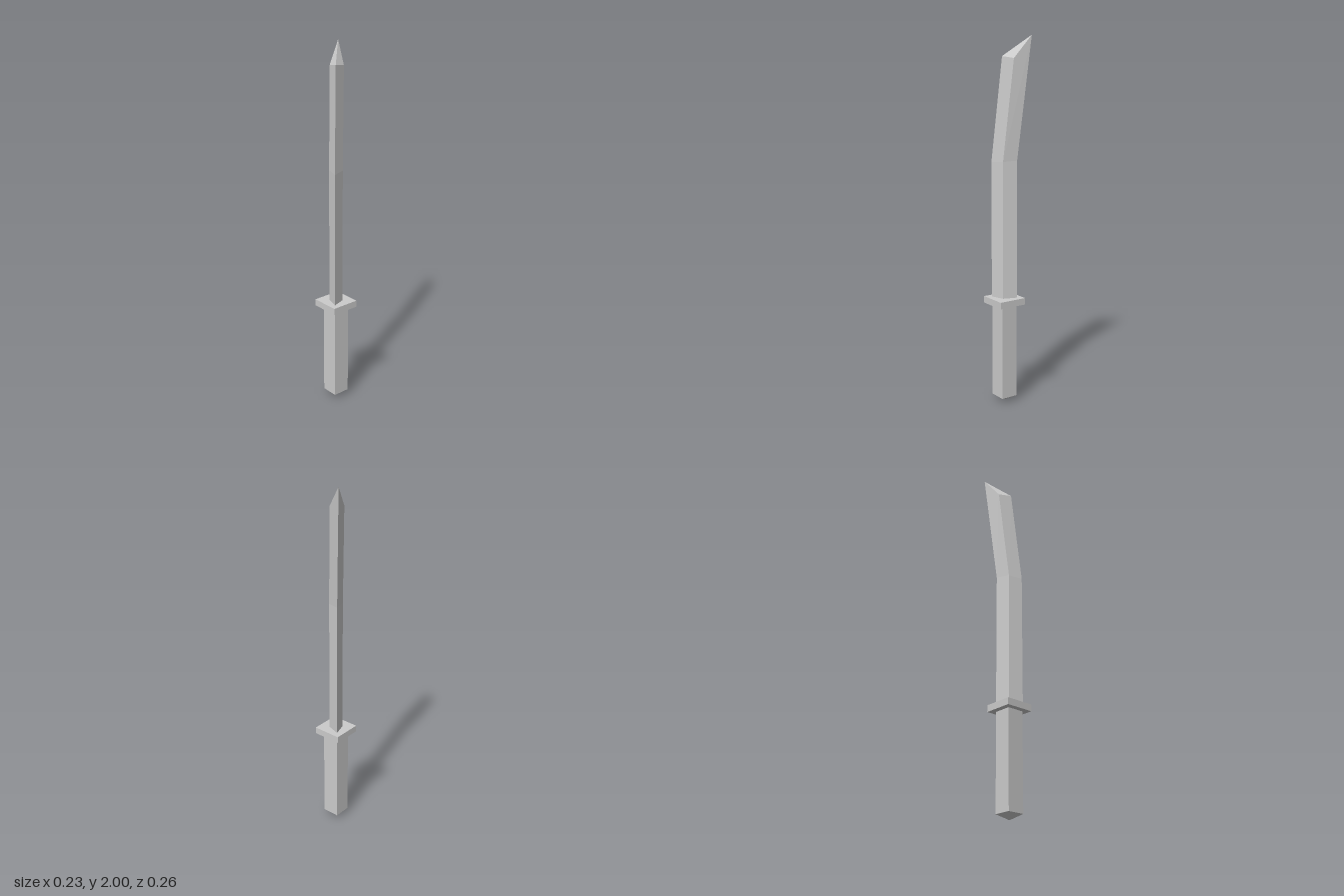
import * as THREE from 'three';

const AXIS_Z = 0.0145; // shared centre line of handle, guard and blade
const material = new THREE.MeshStandardMaterial({ color: 0xcccccc, flatShading: true });

// Four-sided diamond prism with corners on the x and z axes
function diamond(name, rTop, rBottom, y0, y1) {
  const geometry = new THREE.CylinderGeometry(rTop, rBottom, y1 - y0, 4);
  const mesh = new THREE.Mesh(geometry, material);
  mesh.name = name;
  mesh.position.set(0, (y0 + y1) / 2, AXIS_Z);
  return mesh;
}

// Skin a stack of four-cornered rings, closing both ends
function loft(rings) {
  const points = [];
  const tri = (a, b, c) => points.push(...a, ...b, ...c);
  for (let i = 0; i < rings.length - 1; i++) {
    const low = rings[i], high = rings[i + 1];
    for (let j = 0; j < 4; j++) {
      const k = (j + 1) % 4;
      tri(low[j], low[k], high[k]);
      tri(low[j], high[k], high[j]);
    }
  }
  const first = rings[0], last = rings[rings.length - 1];
  tri(first[0], first[2], first[1]);
  tri(first[0], first[3], first[2]);
  tri(last[0], last[1], last[2]);
  tri(last[0], last[2], last[3]);
  const geometry = new THREE.BufferGeometry();
  geometry.setAttribute('position', new THREE.Float32BufferAttribute(points, 3));
  geometry.computeVertexNormals();
  return geometry;
}

// Blade section given as [y, z] for the front edge, side ridges and back edge
function section(front, ridge, back) {
  const w = 0.036;
  return [
    [0, ...front],
    [w, ...ridge],
    [0, ...back],
    [-w, ...ridge],
  ];
}

export function createModel() {
  const group = new THREE.Group();
  group.name = 'sword';

  // Grip with a shallow pyramid underneath
  group.add(diamond('handle', 0.068, 0.068, 0.03, 0.56));
  group.add(diamond('pommel', 0.068, 0, 0, 0.03));

  // Flat square guard
  group.add(diamond('guard', 0.114, 0.114, 0.56, 0.597));

  // Blade: straight lower half, then swept back to a slanted point
  const blade = new THREE.Mesh(loft([
    section([0.59, 0.085], [0.59, 0.0155], [0.59, -0.054]),
    section([1.34, 0.085], [1.345, 0.0155], [1.35, -0.054]),
    section([1.893, 0.027], [1.883, -0.042], [2, -0.129]),
  ]), material);
  blade.name = 'blade';
  group.add(blade);

  return group;
}
